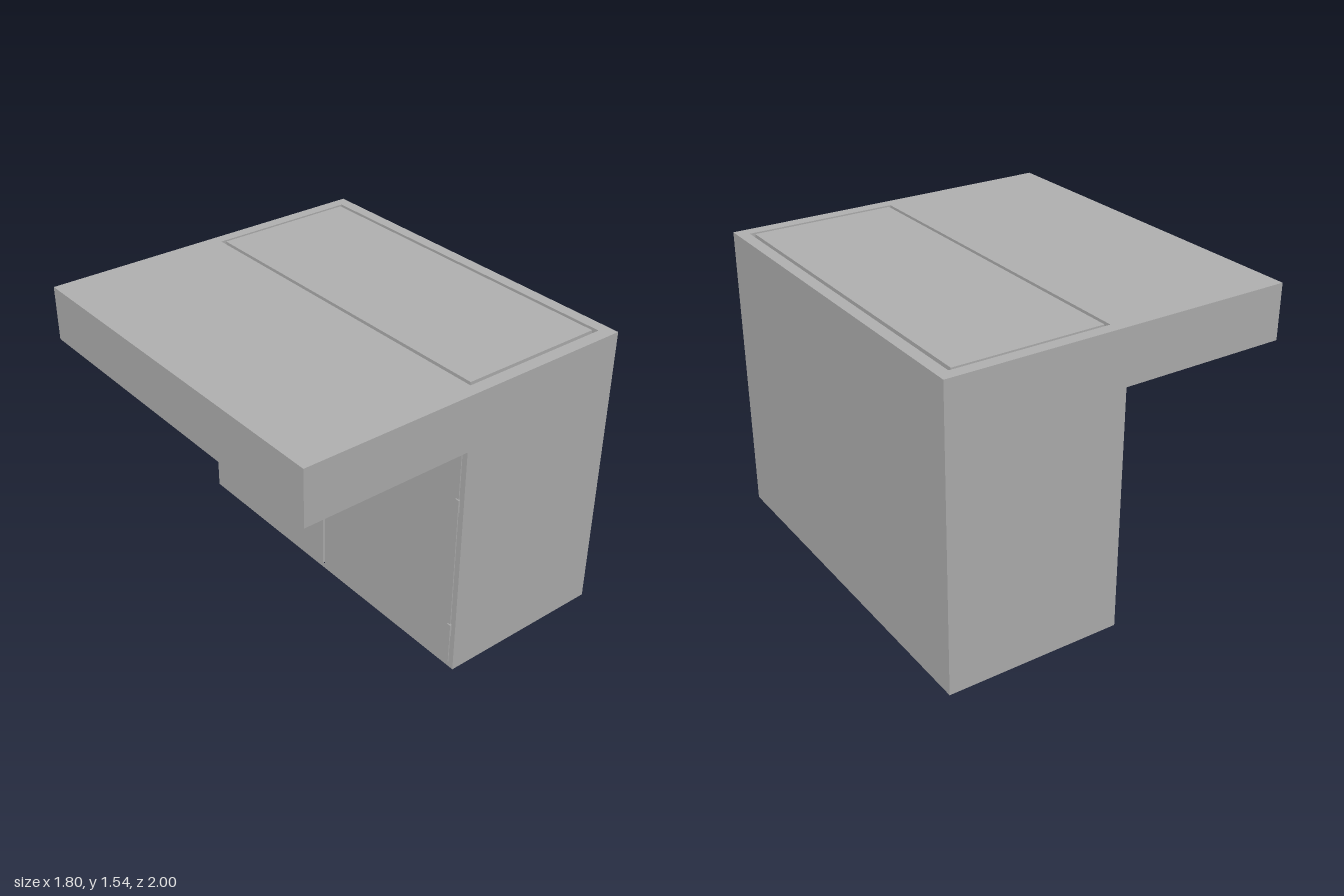
import * as THREE from 'three';

const grey = new THREE.MeshStandardMaterial({ color: 0xb2b2b2, side: THREE.DoubleSide });
grey.name = 'plain grey';

// Main dimensions
const W = 0.9, D = 1, H = 1.54, SLAB = 0.04;
const FRONT = -0.015, UNDER = 1.255;

function rect(x0, y0, x1, y1, Kind = THREE.Shape) {
  return new Kind([[x0, y0], [x1, y0], [x1, y1], [x0, y1]].map(p => new THREE.Vector2(...p)));
}

export function createModel() {
  const model = new THREE.Group();
  model.name = 'cabinet';

  function add(name, geometry, x = 0, y = 0, z = 0, parent = model) {
    const mesh = new THREE.Mesh(geometry, grey);
    mesh.name = name;
    mesh.position.set(x, y, z);
    parent.add(mesh);
    return mesh;
  }
  function box(name, x0, x1, y0, y1, z0, z1, parent) {
    return add(name, new THREE.BoxGeometry(x1 - x0, y1 - y0, z1 - z0),
      (x0 + x1) / 2, (y0 + y1) / 2, (z0 + z1) / 2, parent);
  }

  // L-shaped end walls, open at the bottom
  const top = H - SLAB;
  const profile = new THREE.Shape([[FRONT, 0], [W, 0], [W, top], [-W, top], [-W, UNDER], [FRONT, UNDER]]
    .map(p => new THREE.Vector2(...p)));
  add('endWallFront', new THREE.ShapeGeometry(profile), 0, 0, D);
  add('endWallBack', new THREE.ShapeGeometry(profile).rotateY(Math.PI).scale(-1, 1, 1), 0, 0, -D);

  // Long walls and the underside of the overhang
  add('rearWall', new THREE.PlaneGeometry(2 * D, top).rotateY(Math.PI / 2), W, top / 2, 0);
  add('overhangEdge', new THREE.PlaneGeometry(2 * D, top - UNDER).rotateY(-Math.PI / 2), -W, (top + UNDER) / 2, 0);
  add('overhangUnderside', new THREE.PlaneGeometry(W + FRONT, 2 * D).rotateX(Math.PI / 2), (FRONT - W) / 2, UNDER, 0);

  // Door surround
  const surround = rect(-D, 0, D, UNDER);
  surround.holes.push(rect(-0.97, 0.03, 0.97, 1.23, THREE.Path));
  add('doorFrame', new THREE.ShapeGeometry(surround).rotateY(-Math.PI / 2), FRONT, 0, 0);

  // Top slab with a narrow groove around the inset lid
  const slab = rect(-W, -D, W, D);
  slab.holes.push(rect(0.04, -0.935, 0.84, 0.94, THREE.Path));
  add('topSlab', new THREE.ExtrudeGeometry(slab, { depth: SLAB, bevelEnabled: false }).rotateX(-Math.PI / 2), 0, top, 0);
  add('grooveFloor', new THREE.PlaneGeometry(0.8, 1.875).rotateX(-Math.PI / 2), 0.44, top, -0.0025);
  box('lid', 0.06, 0.82, top, H, -0.925, 0.915);

  // Pair of doors with hinges and handles on both faces
  for (const s of [-1, 1]) {
    const door = new THREE.Group();
    door.name = s > 0 ? 'leftDoor' : 'rightDoor';
    model.add(door);
    const span = (a, b) => (s > 0 ? [a, b] : [-b, -a]);
    box('doorPanel', -0.02, 0.015, 0.03, 1.23, ...span(0.01, 0.97), door);
    for (const y of [0.195, 0.92]) {
      box('hinge', -0.025, 0.02, y, y + 0.07, ...span(0.955, 0.975), door);
    }
    for (const side of [-1, 1]) {
      const handle = new THREE.Group();
      handle.name = side < 0 ? 'outerHandle' : 'innerHandle';
      handle.position.set(-0.0025, 0, s * 0.055);
      door.add(handle);
      const x = side * 0.0225;
      box('handlePlate', x - 0.007, x + 0.007, 0.69, 0.9, -0.018, 0.018, handle);
      const lever = add('lever', new THREE.BoxGeometry(0.009, 0.2, 0.02), side * 0.05, 0.795, 0, handle);
      lever.rotation.z = side * 0.25;
    }
  }
  return model;
}
